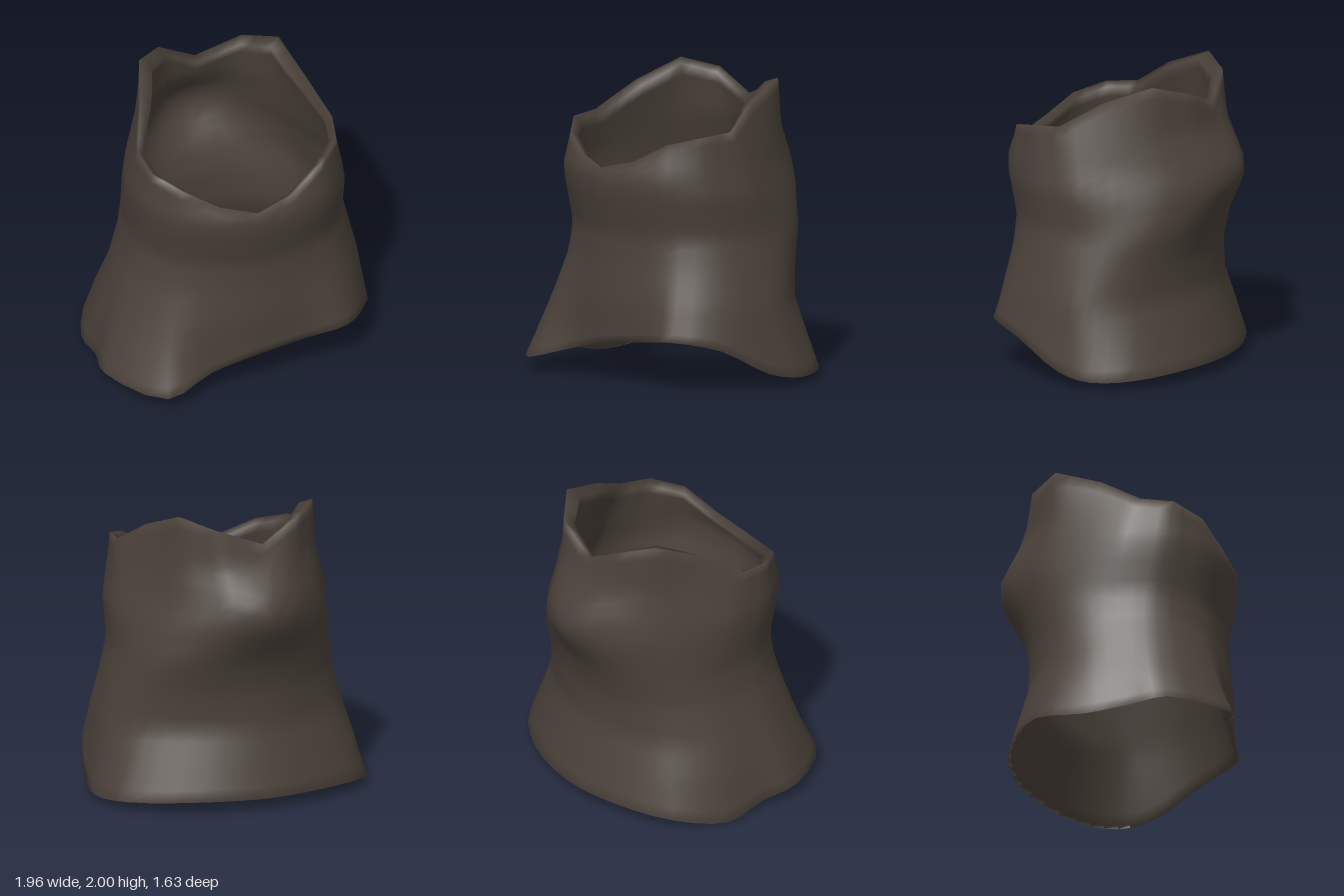
import * as THREE from 'three';

// Upper rim of the cloth, from front centre round by +x: x, y, z
const RIM = [
  [0, 1.44, 0.75], [0.25, 1.5, 0.69], [0.48, 1.63, 0.59], [0.64, 1.68, 0.42],
  [0.68, 1.7, 0.2], [0.58, 1.86, -0.07], [0.49, 1.98, -0.39], [0.29, 1.91, -0.57],
  [-0.03, 1.79, -0.6], [-0.29, 1.94, -0.57], [-0.48, 2.0, -0.39], [-0.57, 1.87, -0.07],
  [-0.67, 1.69, 0.2], [-0.64, 1.67, 0.42], [-0.48, 1.61, 0.59], [-0.25, 1.5, 0.69],
];
// Lower hem, same order
const HEM = [
  [0, 0.26, 0.74], [0.34, 0.3, 0.71], [0.64, 0.33, 0.69], [0.84, 0.27, 0.43],
  [0.95, 0.09, 0.09], [0.98, 0.05, -0.15], [0.86, 0.06, -0.42], [0.45, 0.08, -0.68],
  [0, 0.08, -0.76], [-0.4, 0.08, -0.69], [-0.8, 0.06, -0.48], [-0.96, 0, -0.14],
  [-0.95, 0.05, 0.15], [-0.97, 0.09, 0.42], [-0.65, 0.09, 0.82], [-0.32, 0.18, 0.74],
];
// Body by height: y, reach to +x, -x, +z, -z, then corner sharpness of front, back +x, back -x
const BODY = [
  [0, 0.97, 0.97, 0.8, 0.77, 0.87, 0.87, 0.87],
  [0.3, 0.92, 0.9, 0.76, 0.69, 0.89, 0.97, 0.93],
  [0.55, 0.88, 0.82, 0.75, 0.62, 0.93, 1.06, 0.98],
  [0.8, 0.82, 0.74, 0.72, 0.62, 0.95, 0.93, 0.95],
  [1, 0.77, 0.71, 0.71, 0.67, 0.96, 0.86, 0.96],
  [1.27, 0.77, 0.73, 0.77, 0.82, 0.94, 1.28, 1.25],
  [1.4, 0.74, 0.73, 0.78, 0.82, 0.94, 1.38, 1.33],
  [1.65, 0.69, 0.68, 0.66, 0.66, 0.9, 1.2, 1.18],
  [2.05, 0.6, 0.6, 0.6, 0.55, 0.87, 0.9, 0.9],
];
const SPLIT = 3, COLS = RIM.length * SPLIT, ROWS = 24;

// Closed outline with straight runs between its points
function straightLoop(points) {
  return Array.from({ length: COLS }, (_, k) => {
    const i = Math.floor(k / SPLIT);
    const next = new THREE.Vector3(...points[(i + 1) % points.length]);
    return new THREE.Vector3(...points[i]).lerp(next, (k % SPLIT) / SPLIT);
  });
}

// Closed outline with soft corners
function softLoop(points) {
  const curve = new THREE.CatmullRomCurve3(points.map((p) => new THREE.Vector3(...p)), true, 'centripetal');
  return Array.from({ length: COLS }, (_, k) => curve.getPoint(k / COLS));
}

// Point of the rounded body section at a height and angle
function bodyPoint(angle, y) {
  let i = 0;
  while (i < BODY.length - 2 && y > BODY[i + 1][0]) i++;
  const a = BODY[i], b = BODY[i + 1];
  const f = (y - a[0]) / (b[0] - a[0]);
  const value = (n) => a[n] + (b[n] - a[n]) * f;
  const s = Math.sin(angle), c = Math.cos(angle);
  const power = value(c > 0 ? 5 : s > 0 ? 6 : 7);
  const x = Math.sign(s) * Math.abs(s) ** power * value(s > 0 ? 1 : 2);
  const z = Math.sign(c) * Math.abs(c) ** power * value(c > 0 ? 3 : 4);
  return new THREE.Vector3(x, y, z);
}

// Inner face of the cloth: thin at the hem, thickest at the two back peaks of the rim
function innerPoint(p, t, angle) {
  const peak = Math.cos(angle) < 0 ? Math.sin(2 * angle) ** 2 * t ** 6 : 0;
  const inset = 0.025 + 0.025 * Math.min(1, 2 * t) + 0.04 * peak;
  const f = 1 - inset / Math.hypot(p.x, p.z);
  return new THREE.Vector3(p.x * f, p.y + 0.015 - 0.045 * t, p.z * f);
}

function clothGeometry() {
  const rim = straightLoop(RIM), hem = softLoop(HEM);
  const angleOf = (k) => (k / COLS) * Math.PI * 2;
  const outer = [];
  for (let j = 0; j <= ROWS; j++) {
    const t = j / ROWS;
    outer.push(rim.map((top, k) => {
      const low = hem[k], angle = angleOf(k);
      const p = bodyPoint(angle, low.y + (top.y - low.y) * t);
      // pull the body onto the hem and rim near its ends
      const dLow = low.clone().sub(bodyPoint(angle, low.y));
      const dTop = top.clone().sub(bodyPoint(angle, top.y));
      return p.addScaledVector(dLow, (1 - t) ** 2.5).addScaledVector(dTop, t ** 3);
    }));
  }
  const inner = outer.map((row, j) => row.map((p, k) => innerPoint(p, j / ROWS, angleOf(k)))).reverse();
  const rows = [...outer, ...inner];

  // up the outside, over the rim, down the inside and round the hem
  const index = [];
  for (let j = 0; j < rows.length; j++) {
    const low = j * COLS, high = ((j + 1) % rows.length) * COLS;
    for (let k = 0; k < COLS; k++) {
      const n = (k + 1) % COLS;
      index.push(low + k, low + n, high + n, low + k, high + n, high + k);
    }
  }
  const geometry = new THREE.BufferGeometry().setFromPoints(rows.flat());
  geometry.setIndex(index);
  geometry.computeVertexNormals();
  return geometry;
}

export function createModel() {
  const cloth = new THREE.MeshStandardMaterial({ color: 0x4a4139 });
  cloth.name = 'dark brown cloth';
  const garment = new THREE.Mesh(clothGeometry(), cloth);
  garment.name = 'clothTube';
  const group = new THREE.Group();
  group.name = 'garment';
  group.add(garment);
  return group;
}
